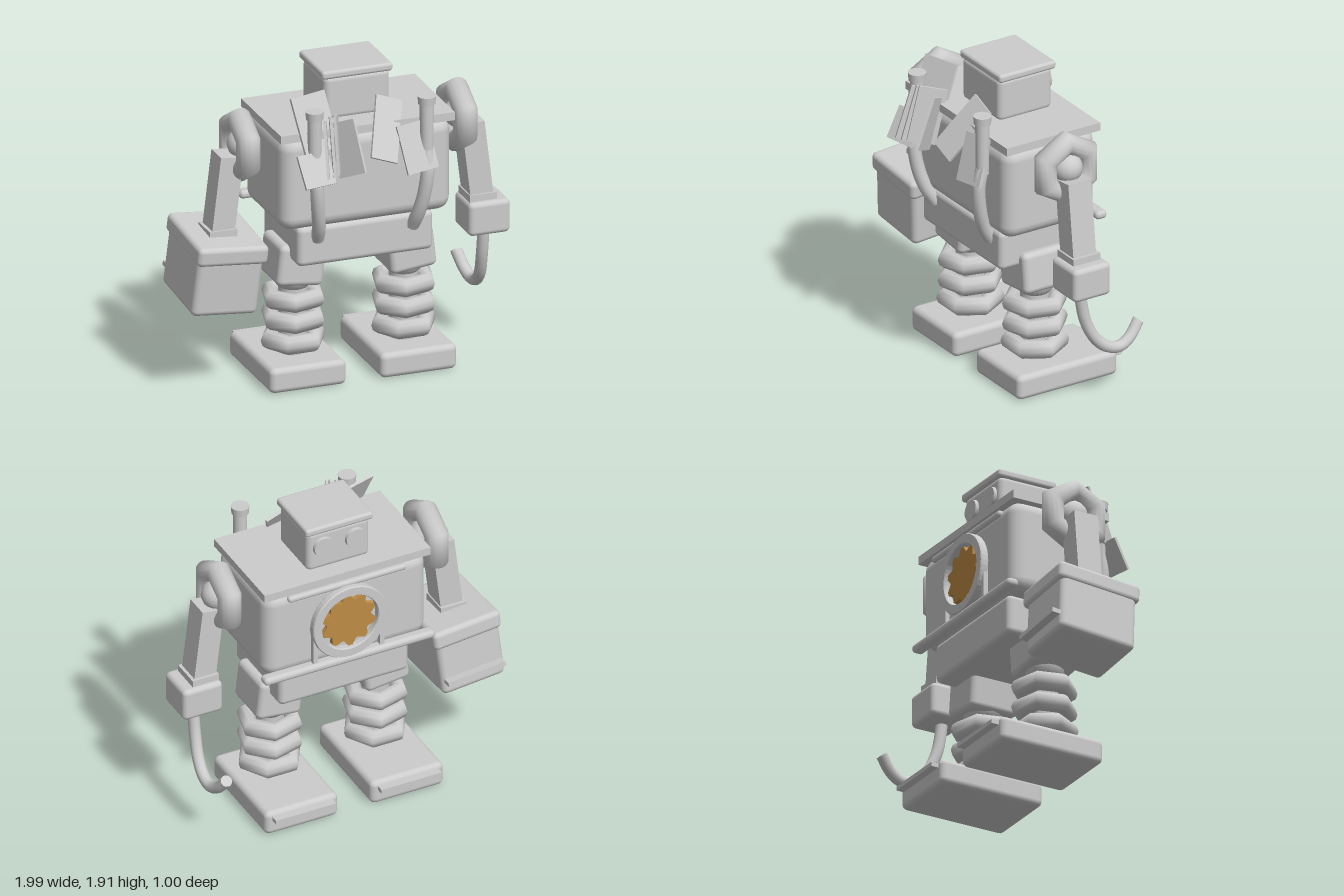
import * as THREE from 'three';
import { RoundedBoxGeometry } from 'three/addons/geometries/RoundedBoxGeometry.js';

const grey = new THREE.MeshStandardMaterial({ color: 0xcccccc });
grey.name = 'plain grey';
const brass = new THREE.MeshStandardMaterial({ color: 0xbf8c46 });
brass.name = 'brass';

export function createModel() {
  const model = new THREE.Group();
  model.name = 'robot';
  const body = new THREE.Group();
  body.name = 'robotBody';
  body.position.x = 0.04;
  model.add(body);

  const add = (name, geo, x, y, z, parent = body, mat = grey) => {
    const mesh = new THREE.Mesh(geo, mat);
    mesh.name = name;
    mesh.position.set(x, y, z);
    parent.add(mesh);
    return mesh;
  };
  const box = (w, h, d) => new THREE.BoxGeometry(w, h, d);
  const rbox = (w, h, d, r) => new RoundedBoxGeometry(w, h, d, 3, r);
  const cyl = (r1, r2, h, n = 24) => new THREE.CylinderGeometry(r1, r2, h, n);
  const tube = (pts, r) => new THREE.TubeGeometry(
    new THREE.CatmullRomCurve3(pts.map(p => new THREE.Vector3(...p))), 24, r, 12);

  // Torso, pelvis and top plate
  add('torso', rbox(1.05, 0.57, 0.625, 0.08), 0, 1.295, -0.02);
  add('topPlate', box(1.07, 0.05, 0.64), 0, 1.595, -0.022);
  add('pelvis', rbox(0.835, 0.245, 0.57, 0.035), 0, 0.898, -0.02);
  add('bumper', rbox(1.1, 0.052, 0.075, 0.024), 0, 1.03, -0.347);
  add('upperBar', rbox(0.76, 0.04, 0.05, 0.018), 0, 1.535, -0.325);

  // Head with lid and eyes
  add('head', rbox(0.405, 0.27, 0.365, 0.035), 0, 1.74, -0.05);
  add('headLid', rbox(0.435, 0.05, 0.385, 0.018), 0, 1.885, -0.055);
  for (const s of [-1, 1]) {
    const eye = cyl(0.062, 0.066, 0.03);
    eye.rotateX(-Math.PI / 2);
    add('eye', eye, s * 0.103, 1.765, -0.238);
  }

  // Chest ring with gear and supports
  const ringShape = new THREE.Shape().absarc(0, 0, 0.24, 0, Math.PI * 2);
  ringShape.holes.push(new THREE.Path().absarc(0, 0, 0.18, 0, Math.PI * 2));
  add('chestRing', new THREE.ExtrudeGeometry(ringShape, {
    depth: 0.035, bevelEnabled: true, bevelSize: 0.005, bevelThickness: 0.008,
    bevelOffset: -0.005, bevelSegments: 1, curveSegments: 24,
  }), 0, 1.29, -0.374);
  const gearShape = new THREE.Shape();
  const teeth = 10;
  for (let i = 0; i < teeth; i++) {
    for (const [f, r] of [[0, 0.142], [0.3, 0.175], [0.55, 0.175], [0.85, 0.142]]) {
      const a = (i + f) / teeth * Math.PI * 2;
      const p = [Math.cos(a) * r, Math.sin(a) * r];
      if (i === 0 && f === 0) gearShape.moveTo(...p); else gearShape.lineTo(...p);
    }
  }
  add('chestGear', new THREE.ExtrudeGeometry(gearShape, { depth: 0.03, bevelEnabled: false }),
    0, 1.29, -0.362, body, brass);
  for (const s of [-1, 1]) add('ringPost', box(0.03, 0.24, 0.03), s * 0.215, 1.16, -0.345);

  // Legs
  for (const s of [-1, 1]) {
    const leg = new THREE.Group();
    leg.name = s > 0 ? 'leftLeg' : 'rightLeg';
    leg.position.set(s * 0.34, 0, -0.02);
    body.add(leg);
    const hip = add('hip', rbox(0.285, 0.25, 0.315, 0.035), 0, 0.728, 0, leg);
    hip.rotation.z = s * 0.11;
    add('hipBall', new THREE.SphereGeometry(0.125, 20, 14), 0, 0.65, 0, leg);
    add('legCore', cyl(0.085, 0.085, 0.5), 0, 0.38, 0, leg);
    [0.24, 0.37, 0.5].forEach((y, i) => {
      const ring = new THREE.TorusGeometry(0.142, 0.056, 10, 6);
      ring.rotateX(Math.PI / 2);
      const m = add('legRing', ring, 0, y, 0, leg);
      m.rotation.y = i ? 0.26 : 0;
    });
    add('foot', rbox(0.47, 0.152, 0.68, 0.035), 0, 0.08, -0.08, leg);
    add('footBar', box(0.39, 0.026, 0.06), 0, 0.118, -0.437, leg);
  }

  // Shoulders and arms
  for (const s of [-1, 1]) {
    const side = s > 0 ? 'left' : 'right';
    const ring = new THREE.TorusGeometry(0.158, 0.072, 14, 6);
    ring.rotateZ(Math.PI / 2);
    ring.rotateY(Math.PI / 2);
    add(side + 'ShoulderRing', ring, s * 0.668, 1.47, -0.02);
    add(side + 'ShoulderBall', new THREE.SphereGeometry(0.09, 16, 12), s * 0.668 + 0.015, 1.48, -0.02);
    const arm = add(side + 'Arm', box(0.14, 0.48, 0.155), s * 0.77, 1.19, -0.022);
    arm.rotation.z = s * 0.12;
    add(side + 'Cuff', box(0.168, 0.045, 0.185), s * 0.8, 0.968, -0.025);
  }

  // Left hand with hook
  add('hookHand', rbox(0.255, 0.205, 0.252, 0.03), 0.828, 0.847, -0.022);
  const hook = [[0.83, 0.78, -0.01], [0.83, 0.68, -0.02], [0.832, 0.56, -0.045],
    [0.842, 0.44, -0.1], [0.85, 0.365, -0.18], [0.85, 0.342, -0.27],
    [0.838, 0.38, -0.35], [0.82, 0.455, -0.415]];
  add('hook', tube(hook, 0.035), 0, 0, 0);
  const tip = cyl(0.035, 0.035, 0.01, 12);
  const tipMesh = add('hookTip', tip, 0.82, 0.455, -0.415);
  tipMesh.rotation.x = -0.7;

  // Right hand: tilted chest with lid
  const chest = new THREE.Group();
  chest.name = 'rightHandBox';
  chest.position.set(-0.815, 0.74, -0.055);
  chest.rotation.set(0.08, 0, -0.09);
  body.add(chest);
  add('handBox', rbox(0.405, 0.36, 0.5, 0.035), 0, -0.035, 0, chest);
  add('handBoxLid', rbox(0.435, 0.115, 0.54, 0.03), 0.005, 0.165, 0, chest);
  add('handBoxBar', box(0.37, 0.028, 0.06), 0, -0.115, -0.27, chest);

  // Exhaust pipes
  for (const s of [-1, 1]) {
    const pipe = new THREE.Group();
    pipe.name = 'exhaustPipe';
    body.add(pipe);
    add('pipeTube', tube([[s * 0.345, 1.44, 0.34], [s * 0.342, 1.32, 0.365],
      [s * 0.325, 1.15, 0.345], [s * 0.305, 1.03, 0.305], [s * 0.292, 0.94, 0.25]], 0.04), 0, 0, 0, pipe);
    add('pipeStem', cyl(0.042, 0.038, 0.34), s * 0.345, 1.57, 0.342, pipe);
    add('pipeCap', cyl(0.054, 0.05, 0.048), s * 0.345, 1.742, 0.342, pipe);
  }

  // Loose cards tucked around the pipes: x, y, z, width, height, rotations
  const cards = [
    [-0.31, 1.655, 0.25, 0.24, 0.34, -0.45, 0.25, 0.13],
    [-0.36, 1.43, 0.41, 0.2, 0.2, -0.55, 0.15, 0.1],
    [-0.285, 1.53, 0.38, 0.17, 0.33, -0.2, 1.2, -0.12],
    [-0.245, 1.54, 0.37, 0.17, 0.34, -0.2, 1.25, -0.1],
    [-0.21, 1.55, 0.36, 0.17, 0.34, -0.2, 1.15, -0.05],
    [-0.155, 1.52, 0.37, 0.19, 0.32, -0.3, -1.0, 0.15],
    [0.105, 1.585, 0.32, 0.17, 0.38, -0.55, 0.2, -0.3],
    [0.28, 1.465, 0.36, 0.2, 0.29, -0.35, 0.1, 0.13],
  ];
  for (const [x, y, z, w, h, rx, ry, rz] of cards) {
    add('card', box(w, h, 0.016), x, y, z).rotation.set(rx, ry, rz);
  }

  return model;
}
